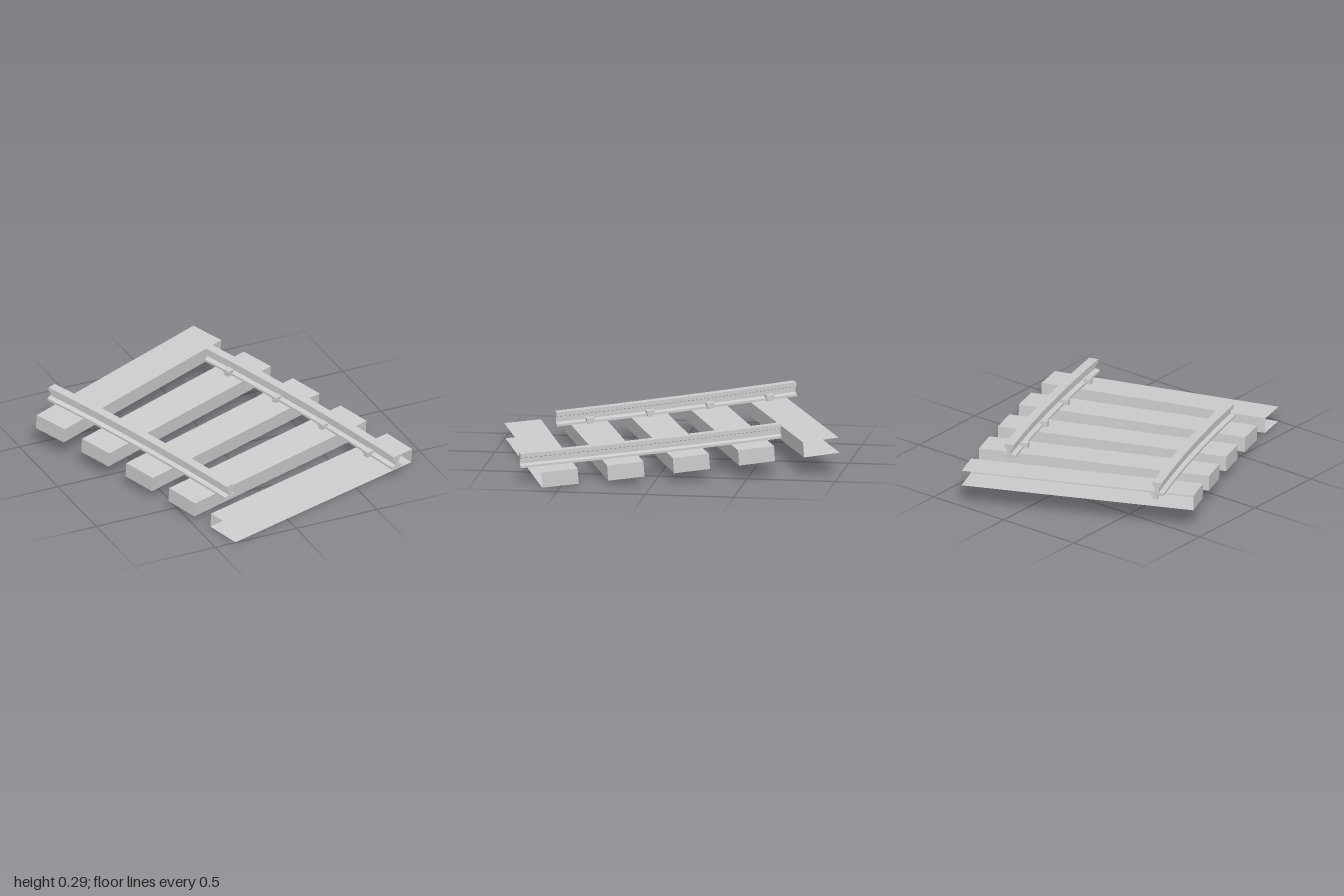
import * as THREE from 'three';

const RADIUS = 12.7;          // gentle bend of the centre line
const THETA = 0.3595;         // heading at the middle sleeper
const SLOPE = 0.0764;         // climb per unit of track
const THICK = 0.087, GAUGE = 0.473, SPACING = 0.355;

// Point at distance s along the track (towards the back), u to the right, h above the sleeper bottoms
function trackPoint(s, u, h) {
  const t = THETA + s / RADIUS;
  return new THREE.Vector3(
    0.004 + RADIUS * (Math.cos(t) - Math.cos(THETA)) + u * Math.cos(t),
    0.063 + SLOPE * s + h,
    0.03 - RADIUS * (Math.sin(t) - Math.sin(THETA)) - u * Math.sin(t)
  );
}

// Box without the listed faces (0 right, 1 left, 2 top, 3 bottom, 4 front, 5 back)
function openBox(w, h, d, missing = []) {
  const g = new THREE.BoxGeometry(w, h, d);
  g.setIndex(Array.from(g.index.array).filter((_, i) => !missing.includes(Math.floor(i / 6))));
  g.clearGroups();
  return g;
}

export function createModel() {
  const model = new THREE.Group();
  model.name = 'railTrack';
  const mat = new THREE.MeshStandardMaterial({ color: 0xcccccc, flatShading: true, side: THREE.DoubleSide });

  const place = (geometry, name, s, u, h, parent = model) => {
    const mesh = new THREE.Mesh(geometry, mat);
    mesh.name = name;
    mesh.position.copy(trackPoint(s, u, h));
    mesh.rotation.set(Math.atan(SLOPE), THETA + s / RADIUS, 0, 'YXZ');
    parent.add(mesh);
  };

  // Sleepers; the first and last are left open on their outer side and one end
  for (let i = 0; i < 5; i++) {
    const missing = i === 0 ? [1, 4] : i === 4 ? [0, 5] : [];
    place(openBox(1.34, THICK, 0.207, missing), 'sleeper', (i - 2) * SPACING, 0, THICK / 2);
  }

  // Rail profile: half outline mirrored (base, web, head)
  const half = [[0.037, 0], [0.037, 0.013], [0.011, 0.021], [0.011, 0.05], [0.027, 0.055], [0.027, 0.078]];
  const outline = [...half, ...half.map(([x, y]) => [-x, y]).reverse()];
  const profile = new THREE.Shape(outline.map(([x, y]) => new THREE.Vector2(x, y)));

  // Rail swept along the bend from its front end to its back end
  function rail(name, side, front, back) {
    const g = new THREE.ExtrudeGeometry(profile, { depth: 1, steps: 8, bevelEnabled: false });
    const p = g.attributes.position;
    for (let i = 0; i < p.count; i++) {
      const s = back + (front - back) * p.getZ(i);
      const v = trackPoint(s, side * GAUGE + p.getX(i), THICK + p.getY(i));
      p.setXYZ(i, v.x, v.y, v.z);
    }
    g.computeVertexNormals();
    const mesh = new THREE.Mesh(g, mat);
    mesh.name = name;
    model.add(mesh);
  }
  rail('railOnPlusX', 1, -0.9, 0.53);
  rail('railOnMinusX', -1, -0.55, 0.875);

  // Spikes on the inner side of each rail: a flat head on a shank sunk into the sleeper
  for (const side of [1, -1]) {
    for (let k = 0; k < 4; k++) {
      const s = (k - 2 + (side < 0 ? 1 : 0)) * SPACING;
      const spike = new THREE.Group();
      spike.name = 'spike';
      place(new THREE.BoxGeometry(0.042, 0.018, 0.045), 'spikeHead', s, side * 0.432, 0.111, spike);
      place(new THREE.BoxGeometry(0.028, 0.095, 0.03), 'spikeShank', s, side * 0.424, 0.056, spike);
      model.add(spike);
    }
  }
  return model;
}
